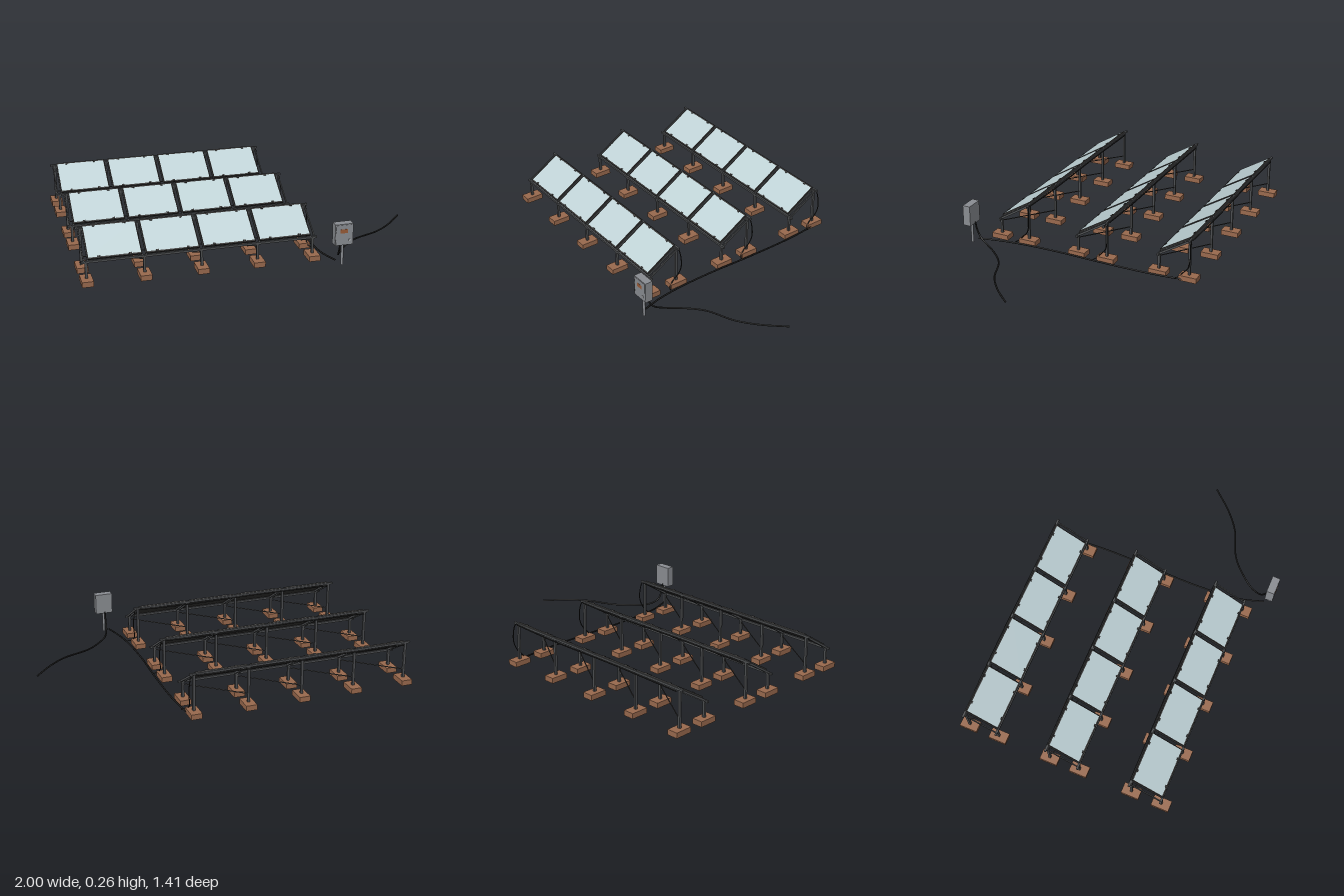
import * as THREE from 'three';

const mat = (name, color, double) => {
  const m = new THREE.MeshStandardMaterial({ color });
  m.name = name;
  if (double) m.side = THREE.DoubleSide;
  return m;
};
const M = {
  glass: mat('paleGlass', 0xbfd2d6),
  frame: mat('darkFrame', 0x343332),
  steel: mat('greySteel', 0x4c4e50),
  brick: mat('brownFooting', 0x9a6a4e),
  cable: mat('blackCable', 0x1e1e1e),
  cabinet: mat('cabinetGrey', 0x8b8e93),
  screen: mat('screenBrown', 0x9a5c38),
  knob: mat('lightMetal', 0xc4c6c8),
};

const box = (parent, name, m, w, h, d, x, y, z) => {
  const mesh = new THREE.Mesh(new THREE.BoxGeometry(w, h, d), m);
  mesh.name = name;
  mesh.position.set(x, y, z);
  parent.add(mesh);
  return mesh;
};
// round bar between two points
const bar = (parent, name, m, r, a, b) => {
  const p = new THREE.Vector3(...a), q = new THREE.Vector3(...b);
  const mesh = new THREE.Mesh(new THREE.CylinderGeometry(r, r, p.distanceTo(q), 8), m);
  mesh.name = name;
  mesh.position.copy(p).lerp(q, 0.5);
  mesh.quaternion.setFromUnitVectors(new THREE.Vector3(0, 1, 0), q.sub(p).normalize());
  parent.add(mesh);
};
const cable = (parent, name, r, pts) => {
  const curve = new THREE.CatmullRomCurve3(pts.map(p => new THREE.Vector3(...p)));
  const mesh = new THREE.Mesh(new THREE.TubeGeometry(curve, pts.length * 8, r, 8), M.cable);
  mesh.name = name;
  parent.add(mesh);
};

const PITCH = 0.318, X0 = -0.97, TILT = 0.556, HALF = 0.092;

// one glazed panel with its frame and clamps, lying flat before tilting
function makePanel() {
  const g = new THREE.Group();
  g.name = 'solarPanel';
  box(g, 'panelBacking', M.frame, 0.288, 0.007, 0.222, 0, 0, 0);
  box(g, 'panelGlass', M.glass, 0.286, 0.003, 0.206, 0, 0.005, 0);
  for (const s of [-1, 1]) {
    box(g, 'panelEndFrame', M.frame, 0.294, 0.011, 0.009, 0, 0.001, s * 0.107);
    box(g, 'panelSideFrame', M.frame, 0.005, 0.011, 0.222, s * 0.1445, 0.001, 0);
    for (const x of [-0.085, 0.085])
      box(g, 'panelClamp', M.frame, 0.014, 0.006, 0.01, x, 0.007, s * 0.102);
  }
  return g;
}

function makeRow() {
  const row = new THREE.Group();
  row.name = 'panelRow';
  for (let i = 0; i < 5; i++) {
    const x = X0 + i * PITCH;
    // footings and posts
    for (const s of [-1, 1]) {
      const top = s > 0 ? 0.128 : 0.248;
      box(row, 'footing', M.brick, 0.064, 0.031, 0.106, x, 0.0165, s * HALF);
      box(row, s > 0 ? 'frontPost' : 'rearPost', M.steel, 0.014, top - 0.03, 0.013, x, (top + 0.03) / 2, s * HALF);
    }
    // sloping twin rafters beside each panel edge
    for (const s of [-1, 1]) {
      const rafter = box(row, 'rafter', M.steel, 0.006, 0.012, 0.224, x + s * 0.011, 0.187, -0.003);
      rafter.rotation.x = TILT;
    }
    if (i < 4) {
      bar(row, 'diagonalBrace', M.frame, 0.003, [x, 0.08, -HALF], [x + PITCH, 0.11, HALF]);
      const panel = makePanel();
      panel.position.set(x + PITCH / 2, 0.197, -0.003);
      panel.rotation.x = TILT;
      row.add(panel);
    }
  }
  // long rails
  box(row, 'frontRail', M.steel, 1.325, 0.012, 0.012, -0.334, 0.126, HALF);
  box(row, 'rearRail', M.steel, 1.325, 0.012, 0.012, -0.334, 0.249, -0.097);
  // wiring behind the rear rail, dropping to the ground at the end
  cable(row, 'railCable', 0.004, [[-0.96, 0.235, -0.103], [-0.5, 0.242, -0.106], [0, 0.236, -0.105], [0.3, 0.243, -0.103]]);
  cable(row, 'dropCable', 0.003, [[0.29, 0.25, -0.1], [0.318, 0.24, -0.102], [0.332, 0.19, -0.107],
    [0.334, 0.13, -0.106], [0.325, 0.08, -0.09], [0.318, 0.045, -0.06], [0.325, 0.018, -0.035], [0.35, 0.012, -0.02]]);
  return row;
}

// control cabinet on its pole
function makeCabinet() {
  const g = new THREE.Group();
  g.name = 'controlCabinet';
  bar(g, 'cabinetPole', M.cabinet, 0.008, [0, 0, 0], [0, 0.13, 0]);
  box(g, 'cabinetBody', M.cabinet, 0.104, 0.124, 0.046, 0, 0.188, 0);
  box(g, 'cabinetDoor', M.cabinet, 0.096, 0.116, 0.003, 0, 0.188, 0.0235);
  box(g, 'cabinetScreen', M.screen, 0.042, 0.023, 0.002, -0.002, 0.209, 0.025);
  box(g, 'doorHandle', M.knob, 0.009, 0.012, 0.004, 0.031, 0.156, 0.026);
  for (const y of [0.155, 0.205]) box(g, 'doorHinge', M.steel, 0.004, 0.012, 0.004, -0.049, y, 0.0245);
  g.position.set(0.434, 0, 0.677);
  return g;
}

export function createModel() {
  const model = new THREE.Group();
  model.name = 'solarArray';
  for (let i = 0; i < 3; i++) {
    const row = makeRow();
    row.position.z = 0.4585 - i * 0.509;
    model.add(row);
  }
  model.add(makeCabinet());
  // ground cables
  cable(model, 'collectorCable', 0.005, [[0.322, 0.012, -0.66], [0.338, 0.011, -0.57], [0.351, 0.011, -0.4], [0.352, 0.011, -0.1],
    [0.346, 0.011, 0.15], [0.352, 0.011, 0.36], [0.37, 0.011, 0.52], [0.408, 0.016, 0.652]]);
  cable(model, 'outputCable', 0.005, [[0.43, 0.135, 0.656], [0.43, 0.085, 0.645], [0.434, 0.035, 0.615], [0.46, 0.012, 0.555],
    [0.513, 0.01, 0.484], [0.61, 0.011, 0.393], [0.78, 0.012, 0.318], [0.888, 0.011, 0.233], [0.995, 0.01, 0.115]]);
  return model;
}
